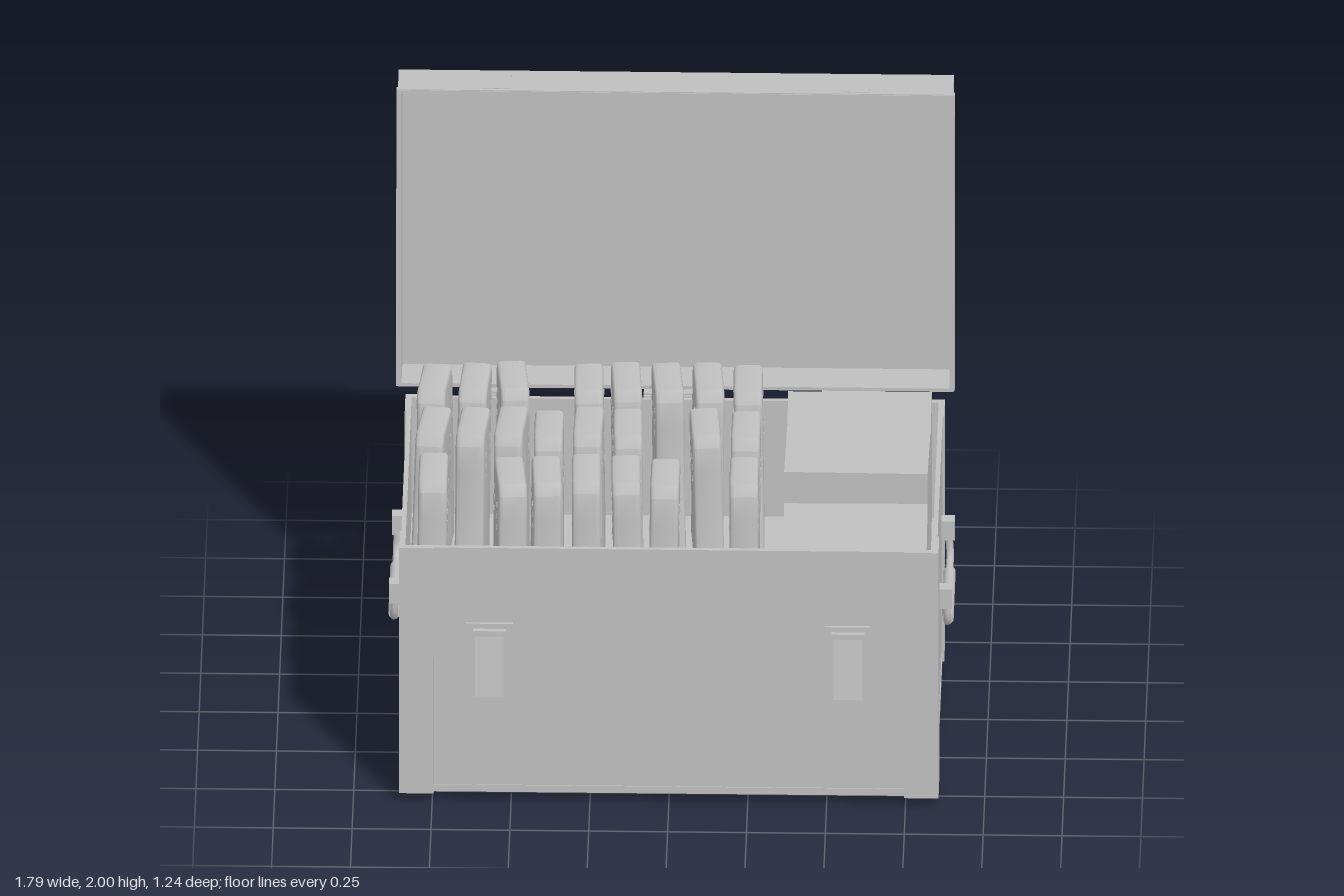
import * as THREE from 'three';
import { toCreasedNormals } from 'three/addons/utils/BufferGeometryUtils.js';

export function createModel() {
  const model = new THREE.Group();
  model.name = 'openCrate';
  const grey = new THREE.MeshStandardMaterial({ color: 0xc0c0c0 });
  grey.name = 'plain grey';

  const add = (name, geometry, parent = model) => {
    const mesh = new THREE.Mesh(geometry, grey);
    mesh.name = name;
    parent.add(mesh);
    return mesh;
  };
  // Box given by its limits on each axis
  const box = (name, x0, x1, y0, y1, z0, z1, parent = model) => {
    const mesh = add(name, new THREE.BoxGeometry(x1 - x0, y1 - y0, z1 - z0), parent);
    mesh.position.set((x0 + x1) / 2, (y0 + y1) / 2, (z0 + z1) / 2);
    return mesh;
  };
  const group = (name, parent = model) => {
    const g = new THREE.Group();
    g.name = name;
    parent.add(g);
    return g;
  };

  // Crate body: two boards per wall, the upper one standing slightly proud
  const X = 0.855, Z0 = -0.43, Z1 = 0.57, TOP = 0.92, IN = 0.02;
  const body = group('body');
  for (const [y0, y1, inset] of [[0.04, 0.52, 0.009], [0.52, TOP, 0.005]]) {
    box('frontBoard', -X + inset, X - inset, y0, y1, Z1 - IN, Z1 - inset, body);
    box('backBoard', -X + inset, X - inset, y0, y1, Z0 + inset, Z0 + IN, body);
    for (const s of [-1, 1]) {
      const a = s * (X - IN), b = s * (X - inset);
      box('sideBoard', Math.min(a, b), Math.max(a, b), y0, y1, Z0 + IN, Z1 - IN, body);
    }
  }
  box('bottom', -X + 0.006, X - 0.006, 0.035, 0.06, Z0 + 0.006, Z1 - 0.006, body);
  box('innerFloor', -X + IN, X - IN, 0.48, 0.5, Z0 + IN, Z1 - IN, body);
  box('frontSkid', -0.83, 0.83, 0, 0.04, 0.39, 0.48, body);

  // L-shaped corner posts
  for (const s of [-1, 1]) for (const f of [-1, 1]) {
    const shape = new THREE.Shape([[0, 0], [0.11, 0], [0.11, 0.012], [0.012, 0.012], [0.012, 0.11], [0, 0.11]]
      .map(([u, v]) => new THREE.Vector2(s * (X - u), -(0.07 + f * (0.5 - v)))));
    const geo = new THREE.ExtrudeGeometry(shape, { depth: TOP - 0.03, bevelEnabled: false });
    geo.rotateX(-Math.PI / 2).translate(0, 0.03, 0);
    add('cornerPost', geo, body);
  }

  // Open lid, leaning back a touch: local y = 0 is its lower edge
  const lid = group('lid');
  lid.position.set(0, 0.932, -0.458);
  lid.rotation.x = -0.014;
  const LX = 0.88, LH = 1.066, LD = -0.14;
  box('lidPanel', -LX, LX, 0, LH, LD, LD + 0.012, lid);
  box('lidRaisedPanel', -LX + 0.14, LX - 0.14, 0.14, LH - 0.14, LD - 0.004, LD, lid);
  for (const s of [-1, 1]) {
    box('lidSide', s * (LX - 0.006) - 0.006, s * (LX - 0.006) + 0.006, 0, LH, LD + 0.012, 0, lid);
    box('lidSideLip', s * LX - 0.005, s * LX + 0.005, 0, LH, -0.022, -0.002, lid);
  }
  for (const y of [0, LH - 0.012]) {
    box('lidEdge', -LX + 0.012, LX - 0.012, y, y + 0.012, LD + 0.012, 0, lid);
  }
  box('lidTopLip', -LX, LX, LH - 0.003, LH + 0.003, -0.022, -0.002, lid);

  // Latches on the front, with their catches on the lid
  for (const s of [-1, 1]) {
    const x = s * 0.568;
    box('lidCatch', x - 0.047, x + 0.047, LH - 0.004, LH + 0.005, -0.105, -0.012, lid);
    const latch = group('latch');
    latch.position.set(x, 0, 0);
    box('latchPlate', -0.074, 0.074, 0.51, 0.65, Z1 - 0.008, Z1 + 0.004, latch);
    box('latchPin', -0.052, 0.052, 0.61, 0.632, Z1, Z1 + 0.02, latch);
    const flap = box('latchFlap', -0.045, 0.045, 0.41, 0.63, Z1 + 0.026, Z1 + 0.034, latch);
    flap.rotation.x = -0.15;
  }

  // Hinges along the back
  for (const [x, w] of [[-0.565, 0.1], [0, 0.1], [0.565, 0.1]]) {
    const hinge = group('hinge');
    box('hingeLeaf', x - w, x + w, 0.875, 0.925, Z0 - 0.006, Z0 + 0.006, hinge);
    box('hingeArm', x - w, x + w, 0.918, 0.932, Z0 - 0.05, Z0, hinge);
  }

  // Carrying handles on both ends
  for (const s of [-1, 1]) {
    const handle = group(s > 0 ? 'leftHandle' : 'rightHandle');
    handle.position.set(0, 0, 0.07);
    const hx = s * 0.877;
    for (const f of [-1, 1]) {
      box('handleBracket', s * 0.87 - 0.022, s * 0.87 + 0.022, 0.575, 0.645, f * 0.222 - 0.021, f * 0.222 + 0.021, handle);
      const path = new THREE.CatmullRomCurve3([
        new THREE.Vector3(s * 0.872, 0.59, f * 0.222), new THREE.Vector3(hx, 0.53, f * 0.215),
        new THREE.Vector3(hx, 0.503, f * 0.195), new THREE.Vector3(hx, 0.49, f * 0.15)]);
      add('handleRod', new THREE.TubeGeometry(path, 10, 0.012, 8), handle);
    }
    const grip = add('handleGrip', new THREE.CylinderGeometry(0.019, 0.019, 0.31, 12), handle);
    grip.rotation.x = Math.PI / 2;
    grip.position.set(hx, 0.49, 0);
  }

  // Packed cartons in the left end
  const cartons = group('cartons');
  for (const [z0, z1, top, turn] of [[0.225, 0.535, 0.905, 0.01], [-0.085, 0.215, 1.01, -0.012], [-0.395, -0.095, 0.965, 0.008]]) {
    box('carton', 0.36, 0.815, 0.5, top, z0, z1, cartons).rotation.y = turn;
  }

  // Curved slim case: side profile swept forward with depth, rounded edges
  const B = 0.014, L = 0.6;
  const sweep = d => 0.06 * (d / L) ** 2;
  const front = [], back = [];
  for (let i = 0; i <= 6; i++) {
    const d = 0.04 + (L - 0.04 - B) * i / 6;
    front.push(new THREE.Vector2(0.111 - B + sweep(d), -d));
    back.unshift(new THREE.Vector2(-0.111 + B + sweep(d), -d));
  }
  const profile = new THREE.Shape([...front, ...back, new THREE.Vector2(-0.08, -B), new THREE.Vector2(0.08, -B)]);
  const raw = new THREE.ExtrudeGeometry(profile, {
    depth: 0.092 - 2 * B, bevelSize: B, bevelThickness: B, bevelSegments: 3 });
  raw.translate(0, 0, -(0.092 - 2 * B) / 2).rotateY(-Math.PI / 2);
  const caseGeo = toCreasedNormals(raw, 0.6);

  // Rows of cases: [x, turn] for each, with a little seeded disorder
  let seed = 7;
  const jitter = () => (seed = (seed * 16807) % 2147483647) / 2147483647 - 0.5;
  const rows = [
    [-0.235, [[-0.76, -0.09], [-0.63, -0.06], [-0.51, 0.09], [-0.27, 0.02], [-0.15, 0.06], [-0.02, 0.08], [0.11, 0.07], [0.235, 0.02]]],
    [0.065, [[-0.755, -0.11], [-0.63, -0.08], [-0.51, -0.08], [-0.39, 0], [-0.265, -0.02], [-0.14, 0.03], [0.105, 0.07], [0.235, 0]]],
    [0.37, [[-0.75, 0], [-0.505, 0.09], [-0.39, 0.05], [-0.265, 0.02], [-0.14, 0.03], [-0.015, 0], [0.235, 0.01]]],
  ];
  const cases = group('curvedCases');
  for (const [z, list] of rows) for (const [x, turn] of list) {
    const item = group('curvedCase', cases);
    add('caseShell', caseGeo, item);
    // Small raised studs down the flanks
    for (const s of [-1, 1]) for (const dz of [-0.065, 0.06]) for (const dy of [-0.09, -0.13, -0.17]) {
      box('caseStud', s * 0.046 - 0.002, s * 0.046 + 0.002, dy - 0.008, dy + 0.008, dz - 0.003, dz + 0.003, item);
    }
    item.position.set(x, 1.1 + jitter() * 0.018, z);
    item.rotation.set(0, turn, jitter() * 0.05);
  }
  return model;
}
